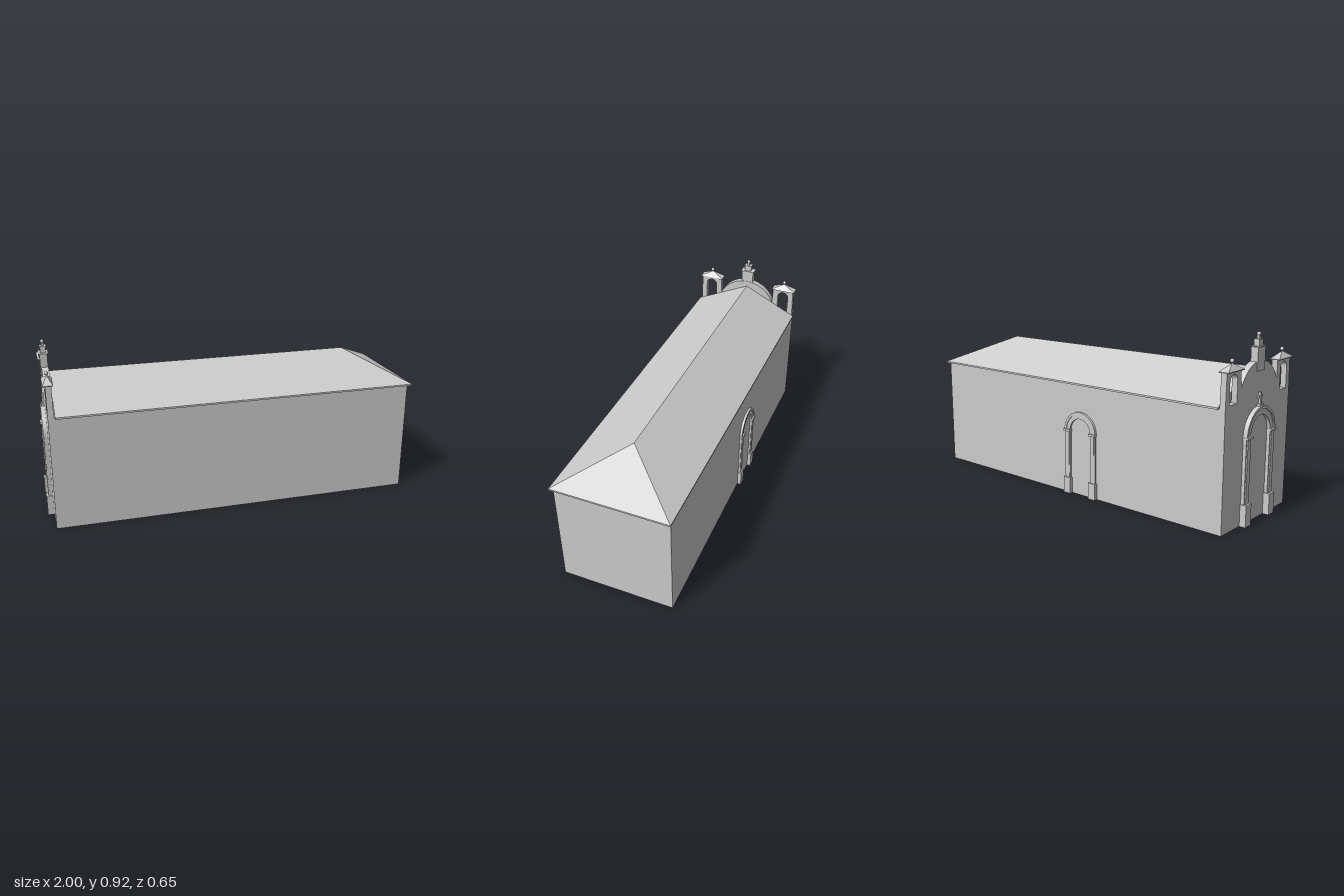
import * as THREE from 'three';

const mat = new THREE.MeshStandardMaterial({ color: 0xcccccc, flatShading: true });
const smooth = new THREE.MeshStandardMaterial({ color: 0xcccccc });

function add(parent, name, geo, material = mat) {
  const mesh = new THREE.Mesh(geo, material);
  mesh.name = name;
  parent.add(mesh);
  return mesh;
}

// Box given by its minimum and maximum on each axis
function box(parent, name, x0, x1, y0, y1, z0, z1) {
  const geo = new THREE.BoxGeometry(x1 - x0, y1 - y0, z1 - z0);
  geo.translate((x0 + x1) / 2, (y0 + y1) / 2, (z0 + z1) / 2);
  return add(parent, name, geo);
}

function ball(parent, name, x, y, z, r) {
  add(parent, name, new THREE.SphereGeometry(r, 16, 12), smooth).position.set(x, y, z);
}

// Extrudes a (z, y) outline along x, between x0 and x1
function slab(parent, name, shape, x0, x1) {
  const geo = new THREE.ExtrudeGeometry(shape, { depth: x1 - x0, bevelEnabled: false, curveSegments: 20 });
  geo.rotateY(Math.PI / 2).translate(x0, 0, 0);
  return add(parent, name, geo);
}

// Hipped at the +x end, vertical gable at the -x end
function roofGeometry() {
  const x0 = -0.93, x1 = 0.994, xr = 0.7, w = 0.31, e0 = 0.599, e1 = 0.608, top = 0.755;
  const a = [x0, e1, w], b = [x1, e1, w], c = [x1, e1, -w], d = [x0, e1, -w];
  const [A, B, C, D] = [a, b, c, d].map(p => [p[0], e0, p[2]]);
  const r0 = [x0, top, 0], r1 = [xr, top, 0];
  const faces = [
    [a, b, r1, r0], [c, d, r0, r1], [b, c, r1], [d, a, r0],
    [A, B, b, a], [B, C, c, b], [C, D, d, c], [D, A, a, d], [D, C, B, A],
  ];
  const pos = [];
  for (const f of faces)
    for (let i = 1; i < f.length - 1; i++) pos.push(...f[0], ...f[i], ...f[i + 1]);
  const geo = new THREE.BufferGeometry();
  geo.setAttribute('position', new THREE.Float32BufferAttribute(pos, 3));
  geo.computeVertexNormals();
  return geo;
}

// Arched band standing on two legs, in the xy plane
function archBand(inner, outer, base, spring, depth) {
  const s = new THREE.Shape();
  s.moveTo(outer, base);
  s.lineTo(outer, spring);
  s.absarc(0, spring, outer, 0, Math.PI, false);
  s.lineTo(-outer, base);
  s.lineTo(-inner, base);
  s.lineTo(-inner, spring);
  s.absarc(0, spring, inner, Math.PI, 0, true);
  s.lineTo(inner, base);
  return new THREE.ExtrudeGeometry(s, { depth, bevelEnabled: false, curveSegments: 20 });
}

// Door surround facing +z, with the wall at z = 0
function doorSurround(name, { inner, outer, plinth, spring, depth, plinthDepth }) {
  const g = new THREE.Group();
  g.name = name;
  add(g, 'archBand', archBand(inner, outer, 0, spring, depth * 0.75));
  add(g, 'archMoulding', archBand(outer - 0.012, outer + 0.002, spring, spring, depth));
  for (const s of [-1, 1]) {
    const leg = new THREE.Group();
    leg.name = 'pilaster';
    leg.position.x = s * (inner + outer) / 2;
    const h = (outer - inner) / 2;
    box(leg, 'plinth', -h - 0.005, h + 0.005, 0, plinth, 0, plinthDepth);
    box(leg, 'shaft', -h * 0.7, h * 0.7, plinth, spring, 0, depth);
    box(leg, 'impost', -h - 0.004, h + 0.004, spring - 0.008, spring + 0.004, 0, depth + 0.006);
    g.add(leg);
  }
  return g;
}

// Bell tower with an arched opening and a pyramid cap; side is +1 or -1
function bellTower(side) {
  const g = new THREE.Group();
  g.name = side > 0 ? 'frontBellTower' : 'backBellTower';
  const u = v => -side * v; // outline x runs towards -z
  const s = new THREE.Shape();
  s.moveTo(u(0.166), 0.6);
  s.lineTo(u(0.3), 0.6);
  s.lineTo(u(0.295), 0.769);
  s.lineTo(u(0.17), 0.769);
  const c = u(0.234), r = 0.032, hole = new THREE.Path();
  hole.moveTo(c - r, 0.615);
  hole.lineTo(c + r, 0.615);
  hole.lineTo(c + r, 0.722);
  hole.absarc(c, 0.722, r, 0, Math.PI, false);
  s.holes.push(hole);
  slab(g, 'belfryWall', s, -0.965, -0.935);
  const z = side * 0.234;
  box(g, 'capSlab', -0.978, -0.926, 0.767, 0.771, z - 0.07, z + 0.07);
  const cone = new THREE.ConeGeometry(Math.SQRT2, 1, 4, 1);
  cone.rotateY(Math.PI / 4).scale(0.026, 0.034, 0.07).translate(-0.952, 0.788, z);
  add(g, 'capRoof', cone);
  ball(g, 'capBall', -0.952, 0.815, z, 0.01);
  return g;
}

export function createModel() {
  const model = new THREE.Group();
  model.name = 'chapel';
  const body = new THREE.Group();
  body.name = 'chapelBody';
  // The whole building stands slightly askew to the axes
  body.rotation.y = 0.018;
  body.position.z = -0.002;
  model.add(body);

  box(body, 'naveWalls', -0.965, 0.97, 0, 0.602, -0.3, 0.3);
  add(body, 'hippedRoof', roofGeometry());

  // Round gable between the towers
  const gable = new THREE.Shape();
  gable.moveTo(0.181, 0.6);
  gable.lineTo(0.181, 0.607);
  gable.absarc(0, 0.607, 0.181, 0, Math.PI, false);
  gable.lineTo(-0.181, 0.6);
  slab(body, 'roundGable', gable, -0.965, -0.93);

  for (const side of [1, -1]) body.add(bellTower(side));

  // Stepped pedestal and finial on top of the gable
  const finial = new THREE.Group();
  finial.name = 'gableFinial';
  const cx = -0.951;
  const steps = [ // name, half depth, half width, bottom, top
    ['pedestal', 0.019, 0.035, 0.74, 0.853],
    ['pedestalCap', 0.025, 0.041, 0.853, 0.857],
    ['upperBlock', 0.014, 0.019, 0.857, 0.888],
    ['upperCap', 0.017, 0.022, 0.888, 0.891],
    ['post', 0.006, 0.007, 0.891, 0.906],
  ];
  for (const [name, hx, hz, y0, y1] of steps) box(finial, name, cx - hx, cx + hx, y0, y1, -hz, hz);
  ball(finial, 'finialBall', cx, 0.913, 0, 0.01);
  body.add(finial);

  // Main doorway on the gable end, crowned by a small cross
  const main = doorSurround('mainDoorway', {
    inner: 0.092, outer: 0.132, plinth: 0.11, spring: 0.437, depth: 0.023, plinthDepth: 0.033,
  });
  box(main, 'crossFoot', -0.016, 0.016, 0.566, 0.582, 0, 0.018);
  box(main, 'crossUpright', -0.005, 0.005, 0.58, 0.636, 0, 0.012);
  box(main, 'crossArm', -0.018, 0.018, 0.61, 0.62, 0, 0.012);
  main.position.x = -0.965;
  main.rotation.y = -Math.PI / 2;
  body.add(main);

  // Smaller doorway in the back wall
  const sideDoor = doorSurround('sideDoorway', {
    inner: 0.07, outer: 0.105, plinth: 0.088, spring: 0.35, depth: 0.013, plinthDepth: 0.02,
  });
  sideDoor.position.set(-0.095, 0, -0.3);
  sideDoor.rotation.y = Math.PI;
  body.add(sideDoor);

  return model;
}
